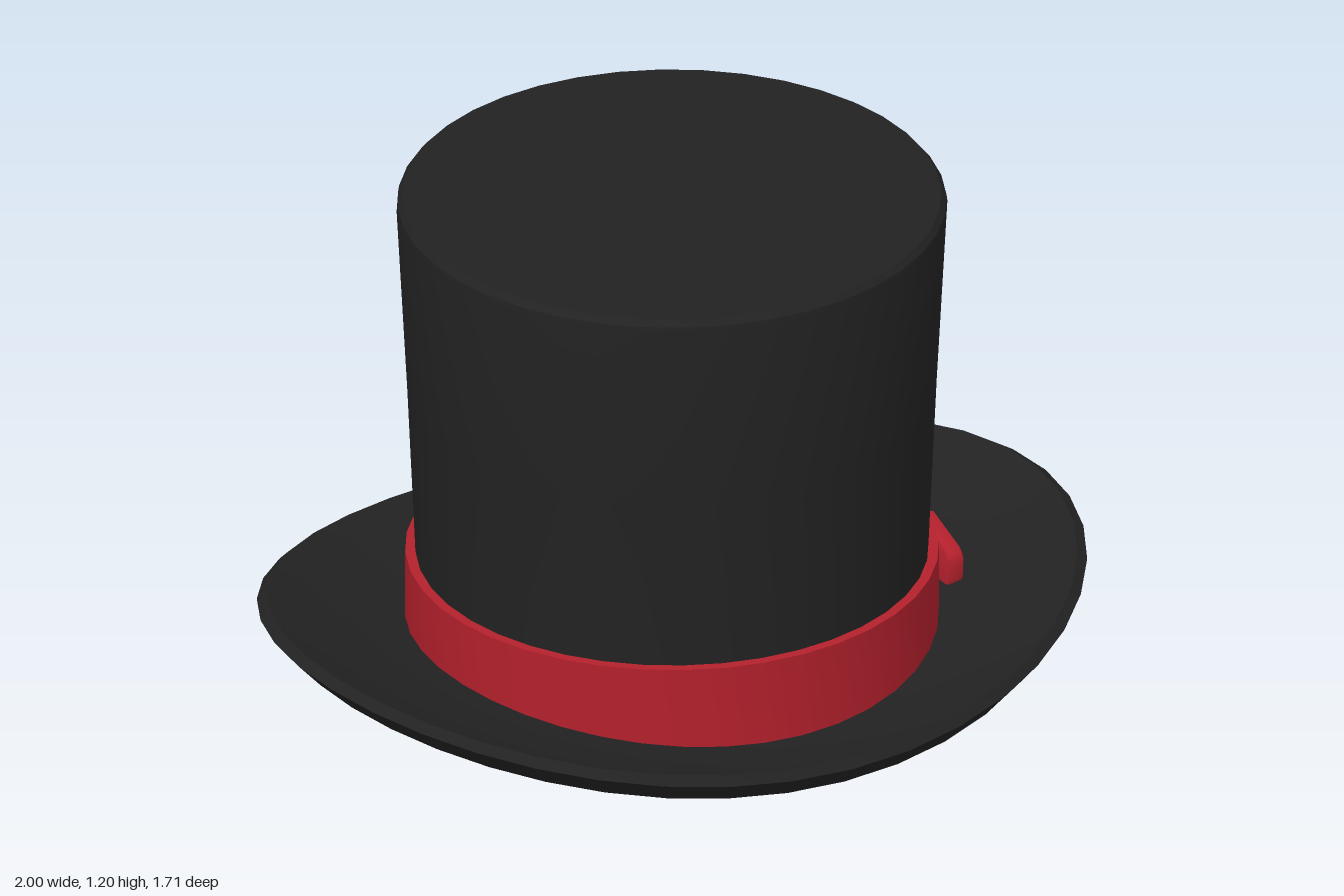
import * as THREE from 'three';
import { toCreasedNormals } from 'three/addons/utils/BufferGeometryUtils.js';

const SEGMENTS = 40;

// Turned part with crisp edges from [radius, height] pairs, listed counterclockwise
function turned(points) {
  return new THREE.LatheGeometry(points.map(([r, y]) => new THREE.Vector2(r, y)), SEGMENTS);
}

function addMesh(parent, name, geometry, material) {
  const mesh = new THREE.Mesh(geometry, material);
  mesh.name = name;
  parent.add(mesh);
  return mesh;
}

// Brim: a turned ring squeezed to an oval and curled up at both sides
function brimGeometry() {
  const inner = 0.59;
  const geometry = turned([
    [inner, 0.01], [0.69, 0.006], [0.8, 0.011], [0.89, 0.019], [0.94, 0.03],
    [1, 0.08], [0.975, 0.103], [0.9, 0.09], [0.8, 0.076], [0.7, 0.066],
    [inner, 0.06], [inner, 0.01],
  ]);
  const pos = geometry.attributes.position;
  for (let i = 0; i < pos.count; i++) {
    const x = pos.getX(i), z = pos.getZ(i);
    const r = Math.hypot(x, z);
    const depth = inner + (r - inner) * (0.857 - inner) / (1 - inner);
    pos.setZ(i, z * depth / r);
    pos.setY(i, pos.getY(i) + 0.138 * x * x);
  }
  return toCreasedNormals(geometry, 0.5);
}

// One drooping bow loop, drawn outward along +x and then turned to lie on the side
function loopGeometry() {
  const shape = new THREE.Shape();
  shape.moveTo(0.01, 0.155);
  shape.lineTo(0.08, 0.137);
  shape.lineTo(0.19, 0.1);
  shape.quadraticCurveTo(0.215, 0.1, 0.217, 0.13);
  shape.lineTo(0.22, 0.175);
  shape.quadraticCurveTo(0.215, 0.195, 0.19, 0.2);
  shape.lineTo(0.085, 0.232);
  shape.lineTo(0.01, 0.2);
  const geometry = new THREE.ExtrudeGeometry(shape, {
    depth: 0.022, bevelThickness: 0.011, bevelSize: 0.008, bevelSegments: 2, curveSegments: 4,
  });
  return toCreasedNormals(geometry, 0.6);
}

export function createModel() {
  const hat = new THREE.Group();
  hat.name = 'topHat';
  const felt = new THREE.MeshStandardMaterial({ color: 0x222222 });
  felt.name = 'black felt';
  const ribbon = new THREE.MeshStandardMaterial({ color: 0xb3202c });
  ribbon.name = 'red ribbon';

  // Crown flares gently towards a chamfered flat top
  addMesh(hat, 'crown', toCreasedNormals(turned([
    [0, 0], [0.597, 0], [0.597, 0.25], [0.617, 0.7], [0.642, 1.17],
    [0.64, 1.185], [0.628, 1.2], [0, 1.2],
  ]), 0.5), felt);

  addMesh(hat, 'brim', brimGeometry(), felt);

  // Ribbon wrapped around the foot of the crown
  addMesh(hat, 'hatBand', toCreasedNormals(turned([
    [0.58, 0.052], [0.622, 0.052], [0.622, 0.275], [0.58, 0.275], [0.58, 0.052],
  ]), 0.5), ribbon);

  // Bow on the left side of the hat
  const bow = new THREE.Group();
  bow.name = 'bow';
  hat.add(bow);
  const loop = loopGeometry();
  // Each loop is rotated by half a turn's difference; the extrusion is centred first
  loop.translate(0, 0, -0.011);
  for (const side of [1, -1]) {
    const geometry = loop.clone();
    if (side < 0) {
      // Mirror the outline and restore the corner order
      geometry.scale(-1, 1, 1);
      const pos = geometry.attributes.position, nor = geometry.attributes.normal;
      for (const attr of [pos, nor]) {
        for (let i = 0; i < attr.count; i += 3) {
          const a = new THREE.Vector3().fromBufferAttribute(attr, i + 1);
          const b = new THREE.Vector3().fromBufferAttribute(attr, i + 2);
          attr.setXYZ(i + 1, b.x, b.y, b.z);
          attr.setXYZ(i + 2, a.x, a.y, a.z);
        }
      }
    }
    const mesh = addMesh(bow, side > 0 ? 'backLoop' : 'frontLoop', geometry, ribbon);
    mesh.rotation.y = Math.PI / 2;
    mesh.position.x = 0.633;
  }

  // Knot: a softly rounded block
  const knot = new THREE.Shape();
  knot.moveTo(-0.018, 0.135);
  knot.lineTo(0.018, 0.135);
  knot.lineTo(0.022, 0.175);
  knot.lineTo(0.018, 0.222);
  knot.lineTo(-0.018, 0.222);
  knot.lineTo(-0.022, 0.175);
  const knotGeometry = new THREE.ExtrudeGeometry(knot, {
    depth: 0.03, bevelThickness: 0.01, bevelSize: 0.008, bevelSegments: 2,
  });
  const knotMesh = addMesh(bow, 'knot', toCreasedNormals(knotGeometry, 0.6), ribbon);
  knotMesh.rotation.y = Math.PI / 2;
  knotMesh.position.x = 0.624;

  return hat;
}
